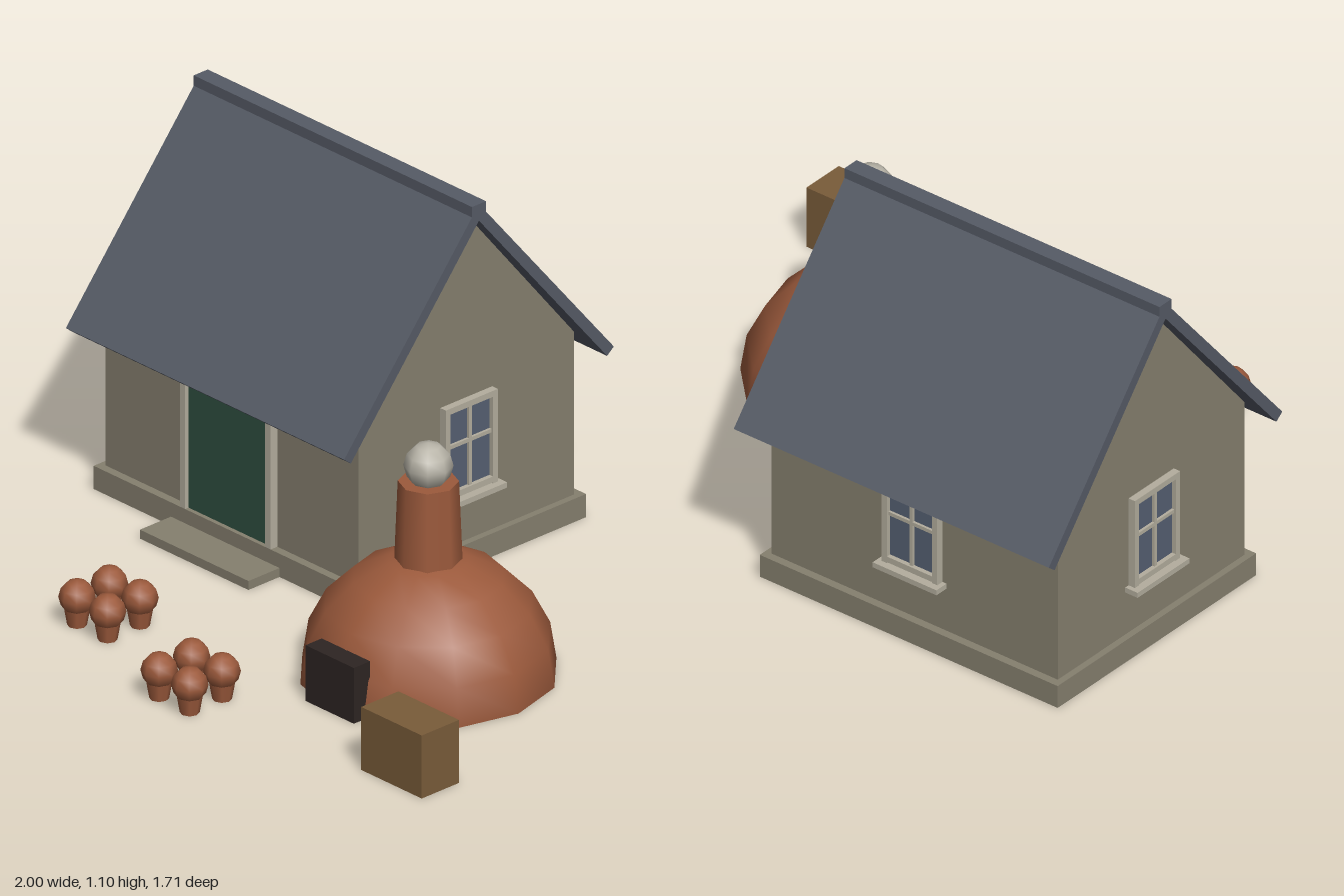
import * as THREE from 'three';

const mat = (name, color, extra = {}) => {
  const m = new THREE.MeshStandardMaterial({ color, ...extra });
  m.name = name;
  return m;
};

export function createModel() {
  const stone = mat('stone', 0x86806f);
  const slate = mat('slate', 0x565b66);
  const trim = mat('paleTrim', 0xb4ae9e);
  const green = mat('doorGreen', 0x2f4f40);
  const glass = mat('glass', 0x566072);
  const clay = mat('terracotta', 0x9c5a3c, { side: THREE.DoubleSide });
  const iron = mat('darkIron', 0x2e2523);
  const wood = mat('wood', 0x7a5c3a);
  const smoke = mat('smoke', 0xb8b4a8);

  const model = new THREE.Group();
  const add = (parent, name, geo, material, x = 0, y = 0, z = 0) => {
    const mesh = new THREE.Mesh(geo, material);
    mesh.name = name;
    mesh.position.set(x, y, z);
    parent.add(mesh);
    return mesh;
  };
  const box = (parent, name, material, w, h, d, x, y, z) =>
    add(parent, name, new THREE.BoxGeometry(w, h, d), material, x, y, z);
  const group = (name, parent = model) => {
    const g = new THREE.Group();
    g.name = name;
    parent.add(g);
    return g;
  };
  // Extrudes a (z, y) outline along x, centred on the house
  const prism = (points, length) => {
    const shape = new THREE.Shape(points.map(([z, y]) => new THREE.Vector2(-z, y)));
    const geo = new THREE.ExtrudeGeometry(shape, { depth: length, bevelEnabled: false });
    geo.translate(0, 0, -length / 2);
    return geo.rotateY(Math.PI / 2);
  };

  // House, local origin under the ridge
  const house = group('house');
  house.position.set(-0.4525, 0, -0.36);
  box(house, 'plinth', stone, 1.035, 0.07, 0.85, 0, 0.035, 0);
  add(house, 'walls', prism(
    [[-0.4, 0.05], [0.4, 0.05], [0.4, 0.56], [0, 1.05], [-0.4, 0.56]], 0.995), stone);
  add(house, 'roof', prism([
    [-0.5, 0.5], [0, 1.1], [0.5, 0.5], [0.475, 0.48], [0, 1.05], [-0.475, 0.48],
  ], 1.095), slate);
  box(house, 'ridgeCap', slate, 1.095, 0.05, 0.052, 0, 1.075, 0);
  box(house, 'doorStep', stone, 0.427, 0.027, 0.15, 0, 0.0135, 0.465);

  // Front door
  const door = group('door', house);
  box(door, 'doorLeaf', green, 0.315, 0.45, 0.012, 0, 0.295, 0.406);
  for (const s of [-1, 1]) {
    box(door, 'doorJamb', trim, 0.021, 0.455, 0.026, s * 0.168, 0.2975, 0.412);
  }
  box(door, 'doorLintel', trim, 0.357, 0.02, 0.026, 0, 0.52, 0.412);

  // Window facing +z, sitting on the plane z = 0
  const addWindow = (x, z, turn) => {
    const w = group('window', house);
    w.position.set(x, 0, z);
    w.rotation.y = turn;
    box(w, 'glass', glass, 0.17, 0.26, 0.008, 0, 0.36, 0.004);
    for (const s of [-1, 1]) {
      box(w, 'frameSide', trim, 0.018, 0.285, 0.022, s * 0.0875, 0.3575, 0.011);
      box(w, 'frameRail', trim, 0.157, 0.018, 0.022, 0, 0.362 + s * 0.129, 0.011);
    }
    box(w, 'mullion', trim, 0.011, 0.25, 0.016, 0, 0.362, 0.008);
    box(w, 'crossBar', trim, 0.16, 0.011, 0.016, 0, 0.378, 0.008);
    box(w, 'sill', trim, 0.222, 0.016, 0.043, 0, 0.213, 0.0215);
  };
  addWindow(0.4975, 0, Math.PI / 2);
  addWindow(-0.4975, 0, -Math.PI / 2);
  addWindow(0, -0.4, Math.PI);

  // Domed kiln, open underneath
  const kiln = group('kiln');
  kiln.position.set(0.45, 0, 0.162);
  add(kiln, 'kilnDome',
    new THREE.SphereGeometry(0.355, 12, 5, 0, Math.PI * 2, 0, Math.PI / 2), clay);
  add(kiln, 'kilnChimney', new THREE.CylinderGeometry(0.083, 0.093, 0.253, 8), clay, 0, 0.4465, 0);
  add(kiln, 'smokePuff', new THREE.SphereGeometry(0.068, 8, 6), smoke, 0, 0.62, 0);
  box(kiln, 'kilnDoor', iron, 0.19, 0.168, 0.06, 0, 0.084, 0.336);

  box(model, 'crate', wood, 0.238, 0.19, 0.138, 0.881, 0.095, 0.636);

  // Two clusters of four clay pots
  for (const [cx, cz] of [[-0.344, 0.6], [0.13, 0.742]]) {
    const cluster = group('potCluster');
    cluster.position.set(cx, 0, cz);
    for (const sx of [-1, 1]) for (const sz of [-1, 1]) {
      const pot = group('pot', cluster);
      pot.position.set(sx * 0.06, 0, sz * 0.06);
      add(pot, 'potBase', new THREE.CylinderGeometry(0.039, 0.027, 0.07, 8), clay, 0, 0.035, 0);
      add(pot, 'potTop', new THREE.SphereGeometry(0.051, 8, 6), clay, 0, 0.084, 0);
    }
  }
  return model;
}
